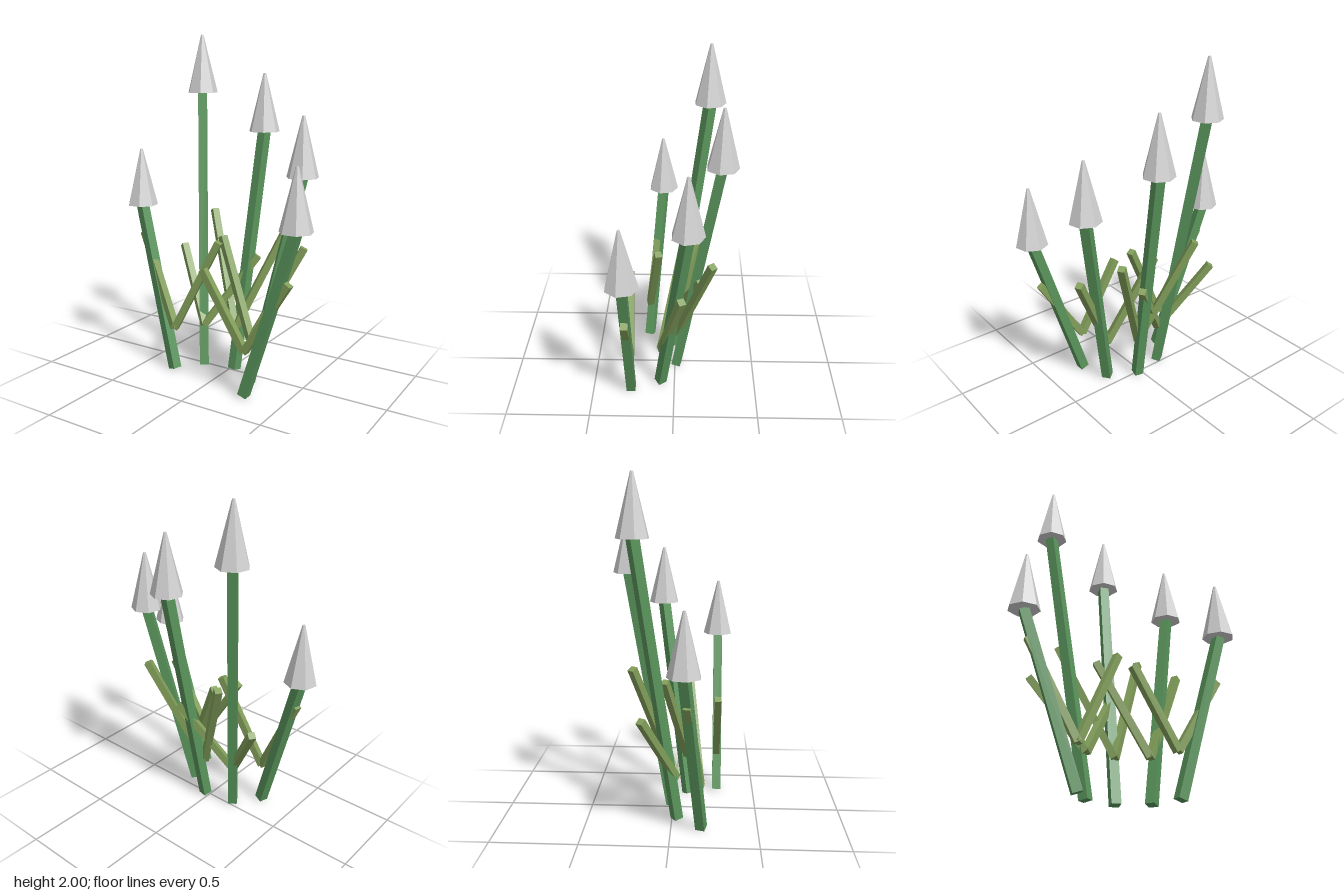
import * as THREE from 'three';

const flat = (name, color) => {
  const m = new THREE.MeshStandardMaterial({ color, flatShading: true });
  m.name = name;
  return m;
};

// Square bar from a to b, yawed so its sides follow the direction of lean
function bar(name, a, b, width, material) {
  const from = new THREE.Vector3(...a);
  const to = new THREE.Vector3(...b);
  const mesh = new THREE.Mesh(new THREE.BoxGeometry(width, width, from.distanceTo(to)), material);
  mesh.name = name;
  mesh.position.copy(from).add(to).multiplyScalar(0.5);
  mesh.lookAt(to);
  return mesh;
}

export function createModel() {
  const stemGreen = flat('stem green', 0x5a955c);
  const leafGreen = flat('leaf green', 0x829f5a);
  const budGrey = flat('bud grey', 0xd2d2d2);

  // Upright seven-sided bud with a slightly blunt tip and a corner facing back
  const budGeometry = new THREE.CylinderGeometry(0.008, 0.093, 0.343, 7);
  budGeometry.rotateY(Math.PI);
  budGeometry.translate(0, 0.1715, 0);

  // Stem foot [x, z], bud base [x, y, z], leaf tip [y, z]
  const plants = [
    { foot: [-0.28, 0.175], top: [-0.575, 0.98, 0.085], leaf: [0.815, 0.1] },
    { foot: [-0.163, 0.03], top: [-0.315, 1.657, -0.197], leaf: [0.695, -0.155] },
    { foot: [0.03, -0.01], top: [0.083, 1.433, -0.262], leaf: [0.935, -0.215] },
    { foot: [0.197, 0.087], top: [0.432, 1.207, -0.077], leaf: [0.815, -0.045] },
    { foot: [0.262, 0.267], top: [0.57, 0.98, 0.267], leaf: [0.695, 0.267] },
  ];

  const model = new THREE.Group();
  model.name = 'flowerCluster';
  plants.forEach(({ foot: [x, z], top, leaf: [leafY, leafZ] }, i) => {
    const plant = new THREE.Group();
    plant.name = `flower${i + 1}`;
    plant.add(bar('stem', [x, 0.008, z], top, 0.055, stemGreen));

    // Pair of leaves forming a V low on the stem
    for (const side of [-1, 1]) {
      const name = side > 0 ? 'leftLeaf' : 'rightLeaf';
      plant.add(bar(name, [x, 0.263, z - 0.005], [x + side * 0.27, leafY, leafZ], 0.041, leafGreen));
    }

    const bud = new THREE.Mesh(budGeometry, budGrey);
    bud.name = 'bud';
    bud.position.set(...top);
    plant.add(bud);
    model.add(plant);
  });
  return model;
}
